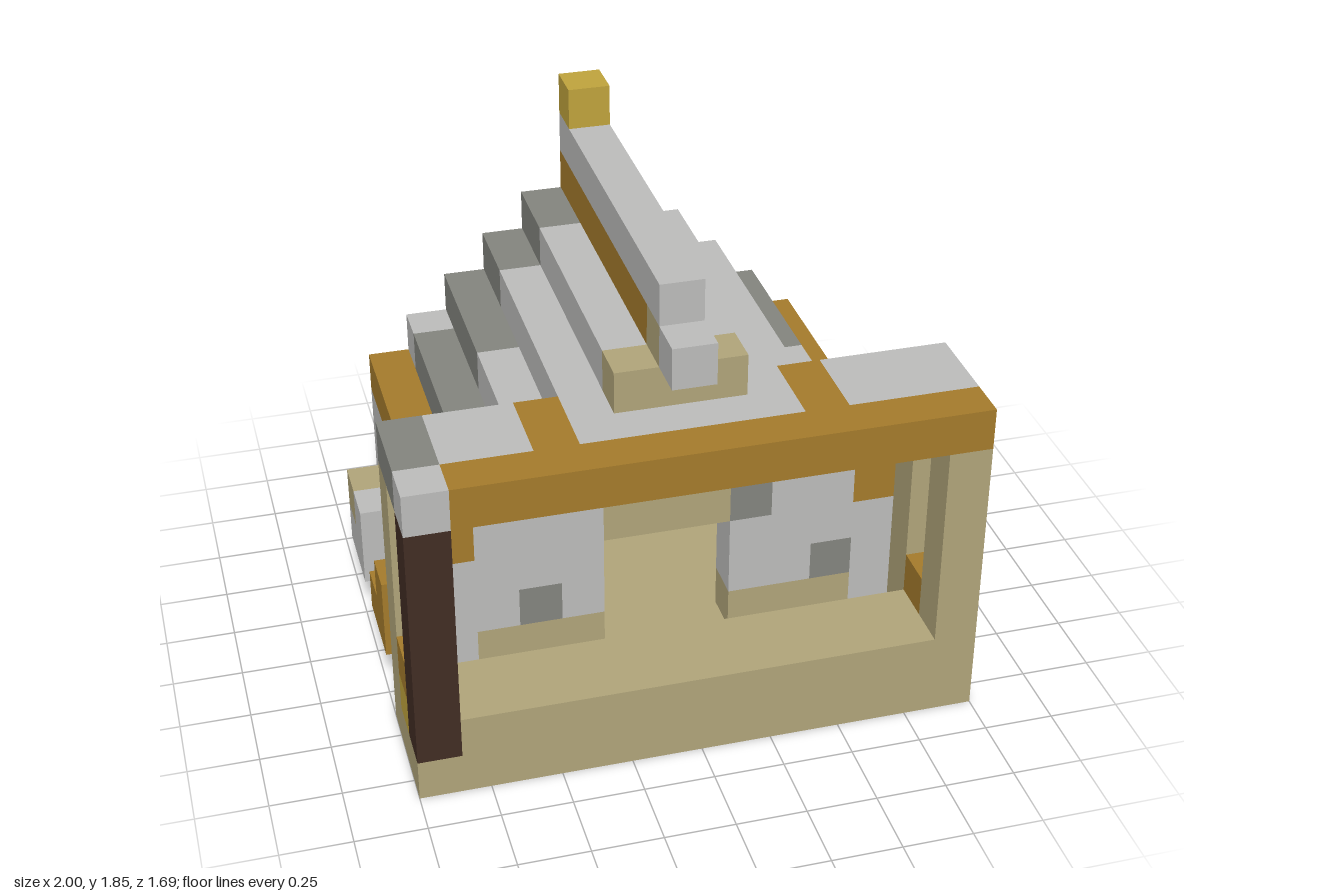
import * as THREE from 'three';
import { mergeGeometries } from 'three/addons/utils/BufferGeometryUtils.js';

const U = 2 / 13; // edge of one block
const NX = 13, NZ = 11;

const colours = {
  stone: 0xbbbbba, mossyStone: 0x82837d, sandstone: 0xafa379, timber: 0xa37a2b,
  gold: 0xbea23c, brownWood: 0x7c5e3a, darkWood: 0x402c23,
};

// One block face per direction: outward normal and the turn that aims a plane along it
const sides = [
  [0, 0, 1, 0, 0], [0, 0, -1, 0, Math.PI],
  [1, 0, 0, 0, Math.PI / 2], [-1, 0, 0, 0, -Math.PI / 2],
  [0, 1, 0, -Math.PI / 2, 0], [0, -1, 0, Math.PI / 2, 0],
];

export function createModel() {
  const group = new THREE.Group();
  const materials = {};
  for (const [name, color] of Object.entries(colours)) {
    materials[name] = new THREE.MeshStandardMaterial({ color });
    materials[name].name = name;
  }

  // Blocks are filled in ranges [from, to); later fills replace earlier ones
  const blocks = new Map();
  const key = (x, y, z) => `${x},${y},${z}`;
  function fill(part, colour, [x0, x1], [y0, y1], [z0, z1]) {
    for (let x = x0; x < x1; x++)
      for (let y = y0; y < y1; y++)
        for (let z = z0; z < z1; z++)
          blocks.set(key(x, y, z), { part, colour, x, y, z });
  }
  // Repaint blocks that are already there
  function paint(colour, [x0, x1], [y0, y1], [z0, z1]) {
    for (const b of blocks.values())
      if (b.x >= x0 && b.x < x1 && b.y >= y0 && b.y < y1 && b.z >= z0 && b.z < z1) b.colour = colour;
  }

  // Foundation
  fill('foundation', 'sandstone', [1, 12], [0, 1], [0, 8]);
  fill('porchBase', 'sandstone', [0, 13], [0, 1], [8, 11]);
  fill('porchFloor', 'sandstone', [1, 12], [1, 2], [9, 11]);

  // Side walls
  for (const x of [1, 11]) fill('sideWall', 'stone', [x, x + 1], [1, 4], [0, 8]);

  // Stepped gable walls, front and back
  for (const [part, z] of [['backWall', 0], ['frontWall', 7]]) {
    fill(part, 'stone', [1, 12], [1, 4], [z, z + 1]);
    for (let y = 4; y < 9; y++) fill(part, 'stone', [y - 3, 16 - y], [y, y + 1], [z, z + 1]);
    paint('sandstone', [2, 11], [1, 2], [z, z + 1]);
  }

  // Stepped roof
  for (let i = 0; i < 5; i++)
    for (const x of [1 + i, 11 - i])
      fill('roofStep', i === 0 ? 'timber' : 'stone', [x, x + 1], [4 + i, 5 + i], [0, 8]);
  fill('roofStep', 'stone', [6, 7], [8, 9], [0, 8]);

  // Ridge and its ornaments
  fill('ridgeBeam', 'timber', [6, 7], [9, 10], [0, 8]);
  fill('ridgeCap', 'stone', [6, 7], [10, 11], [0, 9]);
  fill('ridgeFinial', 'gold', [6, 7], [11, 12], [0, 1]);
  fill('ridgeBracket', 'sandstone', [5, 8], [8, 9], [8, 9]);
  fill('ridgeBracket', 'sandstone', [6, 7], [9, 10], [8, 9]);
  fill('ridgeNose', 'stone', [6, 7], [9, 10], [9, 10]);

  // Mossy patches on the roof
  paint('mossyStone', [2, 3], [5, 6], [1, 6]);
  paint('mossyStone', [3, 4], [6, 7], [0, 4]);
  paint('mossyStone', [4, 5], [7, 8], [0, 2]);
  paint('mossyStone', [5, 6], [8, 9], [0, 2]);
  paint('mossyStone', [7, 8], [8, 9], [4, 5]);
  paint('mossyStone', [10, 11], [5, 6], [0, 4]);

  // Back wall patches
  paint('stone', [6, 7], [1, 2], [0, 1]);
  paint('mossyStone', [2, 5], [2, 5], [0, 1]);
  paint('mossyStone', [3, 5], [5, 7], [0, 1]);
  paint('mossyStone', [7, 8], [2, 3], [0, 1]);
  paint('mossyStone', [9, 10], [4, 6], [0, 1]);

  // Front wall patches, lintel and doorway
  for (const x of [3, 10]) paint('mossyStone', [x, x + 1], [2, 3], [7, 8]);
  paint('mossyStone', [7, 9], [4, 6], [7, 8]);
  fill('doorLintel', 'sandstone', [5, 8], [4, 5], [7, 8]);
  for (let x = 5; x < 8; x++)
    for (let y = 1; y < 4; y++) blocks.delete(key(x, y, 7));

  // Side wall patches
  paint('sandstone', [11, 12], [1, 2], [1, 6]);
  paint('mossyStone', [11, 12], [2, 3], [2, 4]);
  paint('mossyStone', [11, 12], [2, 4], [6, 7]);
  paint('mossyStone', [1, 2], [2, 4], [2, 6]);

  // Porch roof with timber front beam and cross beams
  fill('porchRoof', 'stone', [0, 13], [7, 8], [8, 10]);
  paint('mossyStone', [0, 1], [7, 8], [8, 10]);
  for (const x of [3, 9]) fill('porchCrossBeam', 'timber', [x, x + 1], [7, 8], [8, 10]);
  fill('porchFrontBeam', 'timber', [1, 13], [7, 8], [10, 11]);
  fill('porchBeamEnd', 'stone', [0, 1], [7, 8], [10, 11]);

  // Porch pillars and the low panels between them
  for (const x of [0, 12]) {
    fill('rearPillar', 'sandstone', [x, x + 1], [1, 7], [8, 9]);
    fill('frontPillar', x ? 'sandstone' : 'darkWood', [x, x + 1], [1, 7], [10, 11]);
    fill('porchPanel', 'gold', [x, x + 1], [1, 2], [9, 10]);
    fill('porchPanel', 'timber', [x, x + 1], [2, 3], [9, 10]);
  }

  // Goods along the left side
  fill('tallCrate', 'brownWood', [12, 13], [1, 3], [1, 2]);
  fill('stoneTrough', 'mossyStone', [12, 13], [1, 2], [2, 4]);
  fill('lampPost', 'stone', [12, 13], [1, 3], [5, 6]);
  fill('lamp', 'gold', [12, 13], [3, 4], [5, 6]);
  fill('smallCrate', 'brownWood', [12, 13], [1, 2], [6, 7]);

  // Goods along the right side
  fill('stoneStack', 'stone', [0, 1], [1, 3], [2, 4]);
  paint('sandstone', [0, 1], [2, 3], [2, 3]);
  fill('timberSeat', 'timber', [0, 1], [1, 2], [5, 7]);
  fill('timberSeat', 'timber', [0, 1], [2, 3], [6, 7]);

  // Gather the exposed block faces by part and colour
  const faces = new Map();
  for (const { part, colour, x, y, z } of blocks.values()) {
    for (const [nx, ny, nz, rx, ry] of sides) {
      if (blocks.has(key(x + nx, y + ny, z + nz))) continue;
      const face = new THREE.PlaneGeometry(U, U).rotateX(rx).rotateY(ry).translate(
        (x + 0.5 + nx / 2 - NX / 2) * U, (y + 0.5 + ny / 2) * U, (z + 0.5 + nz / 2 - NZ / 2) * U);
      const id = `${part} ${colour}`;
      if (!faces.has(id)) faces.set(id, { part, colour, list: [] });
      faces.get(id).list.push(face);
    }
  }
  for (const { part, colour, list } of faces.values()) {
    const mesh = new THREE.Mesh(mergeGeometries(list), materials[colour]);
    mesh.name = part;
    group.add(mesh);
  }
  return group;
}
